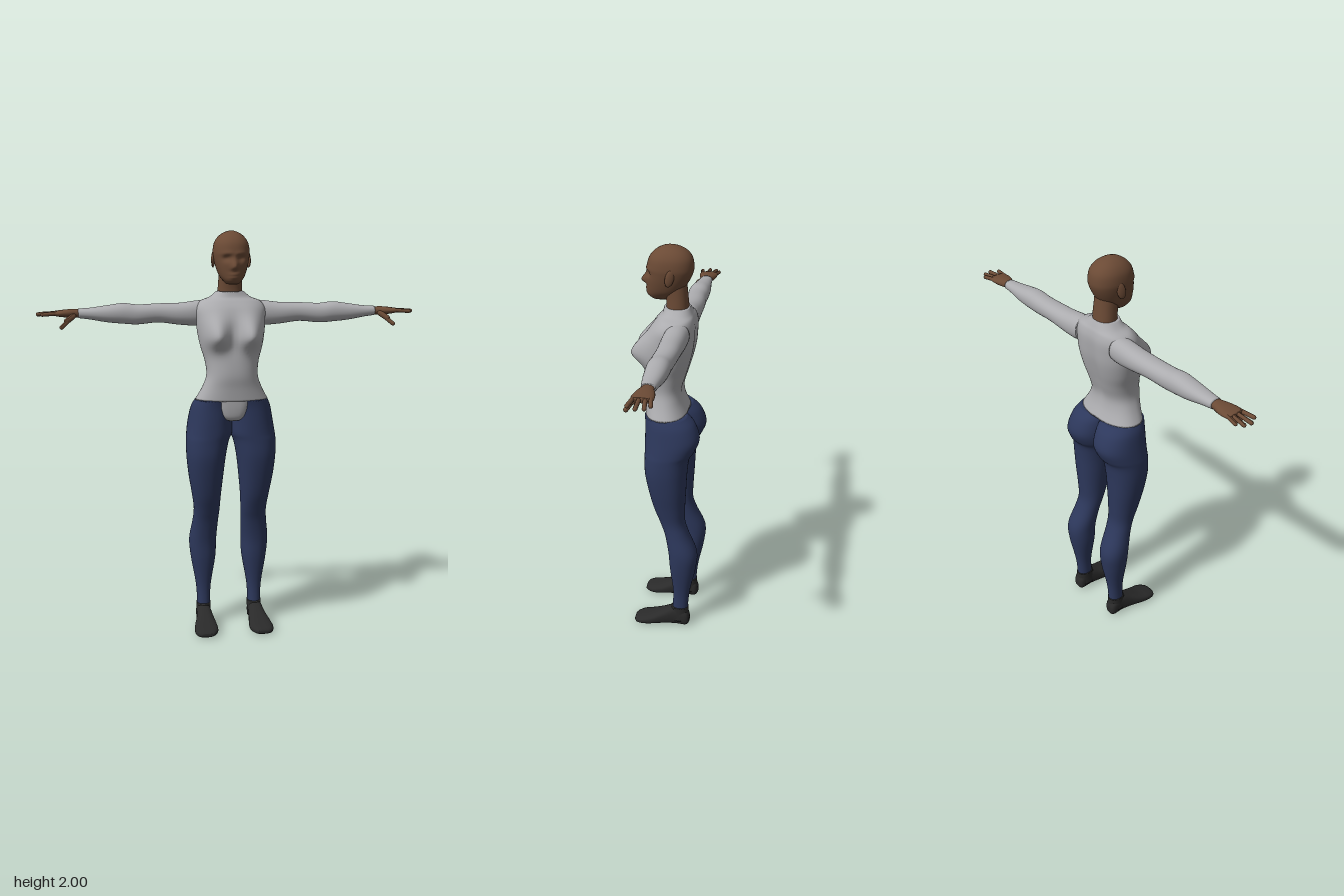
import * as THREE from 'three';

const mat = (name, color) => {
  const m = new THREE.MeshStandardMaterial({ color });
  m.name = name;
  return m;
};

const spline = (a, b, c, d, t) =>
  b + 0.5 * t * (c - a + t * (2 * a - 5 * b + 4 * c - d + t * (3 * (b - c) + d - a)));

// Smooth closed loft. Each row is [t, u0, u1, v0, v1]: a rounded section at t
// spanning u0..u1 and v0..v1. 'order' places (t, u, v) on x, y, z.
const ORDERS = {
  y: (t, u, v) => [u, t, v],
  x: (t, u, v) => [t, v, u],
  z: (t, u, v) => [v, u, t],
};
function loft(rows, { axis = 'y', n = 32, sub = 5, power = 2.2, bump = null } = {}) {
  const rings = [];
  const last = rows.length - 1;
  for (let i = 0; i < last; i++) {
    for (let s = 0; s < sub; s++) {
      const [a, b, c, d] = [rows[Math.max(i - 1, 0)], rows[i], rows[i + 1], rows[Math.min(i + 2, last)]];
      rings.push(b.map((_, k) => spline(a[k], b[k], c[k], d[k], s / sub)));
    }
  }
  rings.push(rows[last]);
  const collapse = ([t, u0, u1, v0, v1]) => [t, (u0 + u1) / 2, (u0 + u1) / 2, (v0 + v1) / 2, (v0 + v1) / 2];
  rings.unshift(collapse(rings[0]));
  rings.push(collapse(rings[rings.length - 1]));

  const pos = [], index = [];
  const shape = (c) => Math.sign(c) * Math.pow(Math.abs(c), 2 / power);
  rings.forEach(([t, u0, u1, v0, v1], i) => {
    for (let j = 0; j < n; j++) {
      const a = (j / n) * Math.PI * 2;
      const u = (u0 + u1) / 2 + shape(Math.cos(a)) * (u1 - u0) / 2;
      const v = (v0 + v1) / 2 + shape(Math.sin(a)) * (v1 - v0) / 2;
      const p = ORDERS[axis](t, u, v);
      if (bump) bump(p);
      pos.push(...p);
      if (i < rings.length - 1) {
        const k = (j + 1) % n, r = i * n, q = r + n;
        index.push(r + j, q + j, r + k, q + j, q + k, r + k);
      }
    }
  });
  const g = new THREE.BufferGeometry();
  g.setAttribute('position', new THREE.Float32BufferAttribute(pos, 3));
  g.setIndex(index);
  g.computeVertexNormals();
  return g;
}

// Mirror a geometry across x and restore its winding
function mirror(geo) {
  const g = geo.clone().scale(-1, 1, 1);
  const a = g.index.array;
  for (let i = 0; i < a.length; i += 3) [a[i], a[i + 1]] = [a[i + 1], a[i]];
  g.computeVertexNormals();
  return g;
}

const gauss = (d, s) => Math.exp(-(d * d) / (2 * s * s));

export function createModel() {
  const skin = mat('brown skin', 0x6b4a35);
  const shirt = mat('grey shirt', 0xacacaf);
  const pants = mat('navy trousers', 0x2d385c);
  const shoe = mat('black shoes', 0x2a2a2a);

  const group = new THREE.Group();
  const add = (name, geo, material) => {
    const m = new THREE.Mesh(geo, material);
    m.name = name;
    group.add(m);
  };
  const pair = (name, geo, material) => {
    add(name + 'Left', geo, material);
    add(name + 'Right', mirror(geo), material);
  };
  const sym = (rows) => rows.map(([y, w, z0, z1]) => [y, -w, w, z0, z1]);

  // Torso with bust
  add('torso', loft(sym([
    [1.188, 0.18, -0.098, 0.11], [1.25, 0.146, -0.075, 0.115], [1.31, 0.126, -0.07, 0.122],
    [1.38, 0.132, -0.09, 0.118], [1.45, 0.152, -0.11, 0.108], [1.52, 0.165, -0.125, 0.1],
    [1.58, 0.17, -0.13, 0.093], [1.63, 0.17, -0.13, 0.075], [1.665, 0.148, -0.122, 0.05],
    [1.685, 0.1, -0.112, 0.032], [1.712, 0.067, -0.098, 0.024],
  ]), {
    n: 64, power: 2.3,
    bump: (p) => {
      const side = Math.abs(p[0]);
      if (p[2] > 0) p[2] += 0.08 * gauss(side - 0.085, 0.04) * gauss(p[1] - 1.5, p[1] > 1.5 ? 0.06 : 0.04) * Math.min(1, p[2] / 0.05);
      else p[2] += 0.014 * gauss(side, 0.025) * gauss(p[1] - 1.45, 0.15);
    },
  }), shirt);

  // Shirt tail over the front of the trousers
  add('shirtTail', loft(sym([
    [1.09, 0.035, -0.02, 0.09], [1.11, 0.06, -0.02, 0.102], [1.15, 0.08, -0.02, 0.108], [1.2, 0.095, -0.02, 0.11],
  ]), { power: 3 }), shirt);

  // Neck
  add('neck', loft(sym([
    [1.66, 0.062, -0.095, 0.015], [1.72, 0.06, -0.09, 0.014], [1.77, 0.057, -0.085, 0.02], [1.82, 0.055, -0.08, 0.03],
  ])), skin);

  // Head with nose, eye sockets, lips and chin shaped by rule
  add('head', loft(sym([
    [1.748, 0.03, 0, 0.082], [1.765, 0.045, -0.03, 0.103], [1.79, 0.062, -0.06, 0.105],
    [1.83, 0.076, -0.088, 0.108], [1.87, 0.085, -0.107, 0.108], [1.9, 0.088, -0.112, 0.106],
    [1.94, 0.082, -0.106, 0.096], [1.97, 0.064, -0.085, 0.073], [1.99, 0.038, -0.052, 0.042], [2, 0.01, -0.015, 0.012],
  ]), {
    n: 72, sub: 6,
    bump: (p) => {
      if (p[2] < 0.04) return;
      const [x, y] = p, ax = Math.abs(x);
      p[2] += 0.027 * gauss(x, 0.011) * gauss(y - 1.828, y > 1.828 ? 0.022 : 0.008)
        + 0.008 * gauss(x, 0.018) * gauss(y - 1.795, 0.006)
        + 0.006 * gauss(x, 0.018) * gauss(y - 1.78, 0.005)
        - 0.014 * gauss(ax - 0.034, 0.015) * gauss(y - 1.87, 0.011)
        + 0.004 * gauss(ax - 0.032, 0.02) * gauss(y - 1.893, 0.007);
    },
  }), skin);

  // Ears
  const ear = new THREE.SphereGeometry(1, 16, 12).scale(0.009, 0.04, 0.021);
  ear.rotateX(-0.2).rotateY(0.3).translate(0.086, 1.865, -0.014);
  pair('ear', ear, skin);

  // Sleeves
  pair('arm', loft([
    [0.12, -0.115, -0.005, 1.555, 1.668], [0.17, -0.113, 0, 1.545, 1.666], [0.25, -0.11, 0, 1.55, 1.656],
    [0.35, -0.11, -0.005, 1.562, 1.654], [0.45, -0.102, 0, 1.554, 1.65], [0.52, -0.104, 0, 1.558, 1.657],
    [0.6, -0.1, -0.005, 1.566, 1.647], [0.68, -0.09, -0.015, 1.58, 1.636], [0.735, -0.086, -0.024, 1.587, 1.633],
  ], { axis: 'x' }), shirt);

  // Hands: palm, four fingers and a thumb
  pair('palm', loft([
    [0.7, -0.08, -0.028, 1.592, 1.629], [0.74, -0.083, -0.025, 1.59, 1.63], [0.78, -0.095, -0.012, 1.59, 1.63],
    [0.82, -0.1, -0.004, 1.594, 1.626], [0.85, -0.097, -0.008, 1.599, 1.622],
  ], { axis: 'x', n: 24 }), skin);

  const digit = (from, to, radius) => {
    const a = new THREE.Vector3(...from), b = new THREE.Vector3(...to);
    const dir = b.clone().sub(a);
    const g = new THREE.CapsuleGeometry(radius, dir.length() - radius, 4, 10);
    g.applyQuaternion(new THREE.Quaternion().setFromUnitVectors(new THREE.Vector3(0, 1, 0), dir.clone().normalize()));
    return g.translate(...a.add(b).multiplyScalar(0.5).toArray());
  };
  [[-0.087, 0.893, -0.1], [-0.065, 0.922, -0.08], [-0.041, 0.93, -0.045], [-0.018, 0.908, -0.006]].forEach(([z0, x1, z1], i) =>
    pair('finger' + (i + 1), digit([0.83, 1.612, z0], [x1, 1.607, z1], 0.0095), skin));
  pair('thumbBase', digit([0.755, 1.602, -0.028], [0.795, 1.572, 0.002], 0.014), skin);
  pair('thumb', digit([0.78, 1.58, -0.006], [0.818, 1.545, 0.022], 0.0105), skin);

  // Legs, each carrying half of the hips
  pair('leg', loft([
    [0.08, 0.1, 0.165, -0.12, -0.04], [0.2, 0.095, 0.17, -0.13, -0.045], [0.35, 0.07, 0.195, -0.16, -0.028],
    [0.45, 0.065, 0.203, -0.165, -0.02], [0.55, 0.06, 0.19, -0.122, 0], [0.62, 0.055, 0.185, -0.1, 0.025],
    [0.7, 0.05, 0.195, -0.1, 0.055], [0.8, 0.04, 0.212, -0.105, 0.08], [0.9, 0.028, 0.223, -0.11, 0.098],
    [0.98, 0.012, 0.224, -0.12, 0.1], [1.02, -0.006, 0.221, -0.145, 0.1], [1.08, -0.01, 0.212, -0.165, 0.1],
    [1.15, -0.01, 0.197, -0.14, 0.1], [1.19, -0.01, 0.178, -0.098, 0.104],
  ], { n: 40 }), pants);

  // Shoes: foot and ankle cuff
  pair('shoe', loft([
    [-0.132, 0.02, 0.055, 0.12, 0.152], [-0.115, 0, 0.09, 0.102, 0.168], [-0.06, 0, 0.112, 0.1, 0.17],
    [0, 0, 0.085, 0.092, 0.18], [0.06, 0, 0.058, 0.083, 0.195], [0.11, 0, 0.044, 0.083, 0.2],
    [0.142, 0.002, 0.034, 0.1, 0.19], [0.155, 0.008, 0.024, 0.115, 0.17],
  ], { axis: 'z', power: 2.6 }), shoe);
  pair('ankleCuff', loft([
    [0.03, 0.097, 0.17, -0.127, -0.02], [0.07, 0.097, 0.169, -0.126, -0.028], [0.11, 0.096, 0.169, -0.125, -0.036],
  ]), shoe);

  return group;
}
